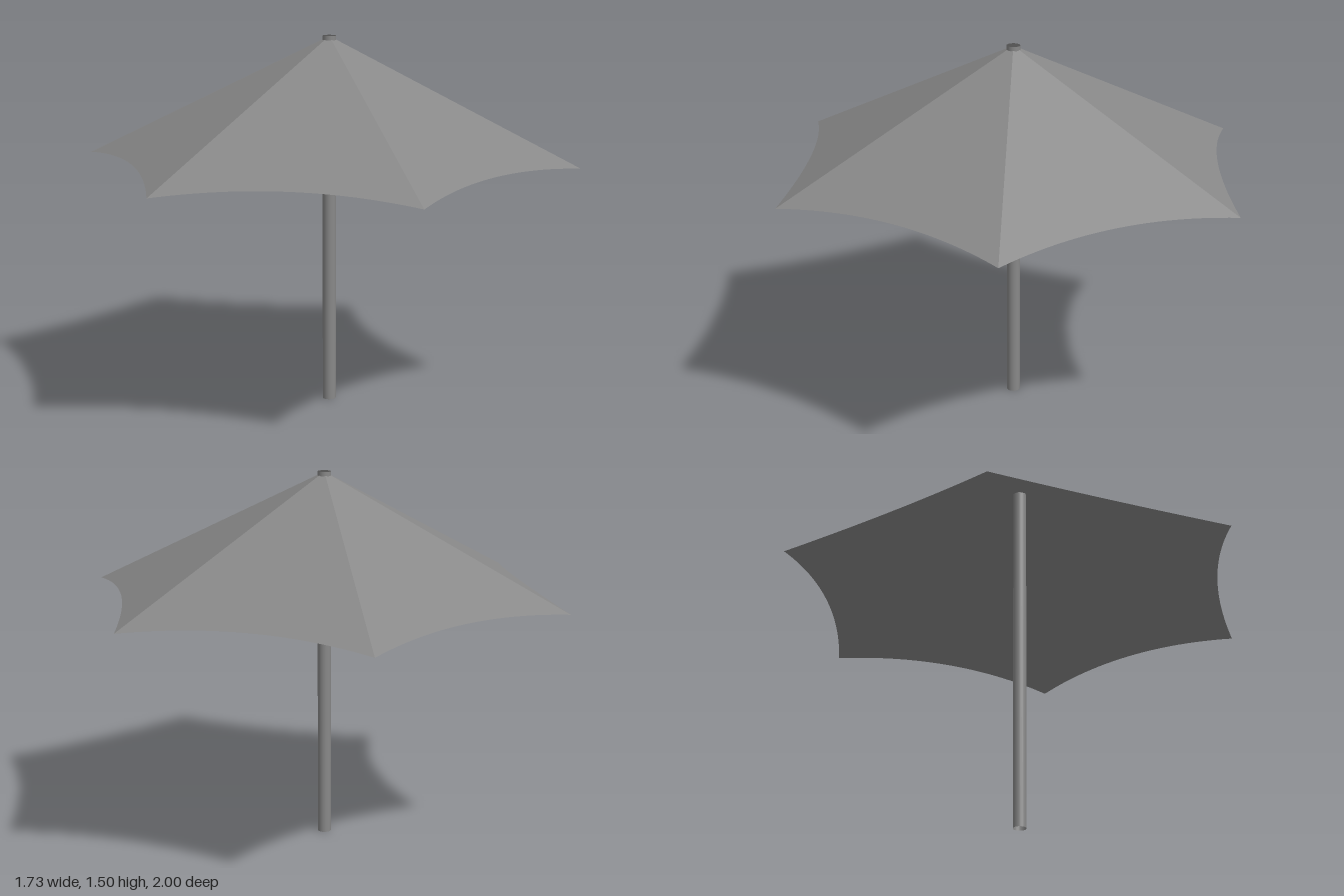
import * as THREE from 'three';

const SIDES = 6, HEIGHT = 1.5, APEX = 1.498, RIM = 1, RADIUS = 1, POLE_R = 0.027;

// One flat triangular panel whose outer edge bows inward, facing +x
function panelGeometry(segments = 24) {
  const half = RADIUS * Math.sin(Math.PI / SIDES);
  const apothem = RADIUS * Math.cos(Math.PI / SIDES);
  const slope = (APEX - RIM) / apothem;
  const sag = 0.056;
  const positions = [0, APEX, 0];
  const index = [];
  for (let i = 0; i <= segments; i++) {
    const t = (i / segments) * 2 - 1;
    const x = apothem - sag * (1 - t * t);
    positions.push(x, APEX - slope * x, t * half);
    if (i < segments) index.push(0, i + 2, i + 1);
  }
  const geometry = new THREE.BufferGeometry();
  geometry.setAttribute('position', new THREE.Float32BufferAttribute(positions, 3));
  geometry.setIndex(index);
  geometry.computeVertexNormals();
  return geometry;
}

export function createModel() {
  const group = new THREE.Group();
  group.name = 'parasol';
  const material = new THREE.MeshStandardMaterial({ color: 0x888888, side: THREE.DoubleSide });
  const darkMaterial = new THREE.MeshStandardMaterial({ color: 0x505050 });

  // Canopy: six panels meeting at the apex
  const canopy = new THREE.Group();
  canopy.name = 'canopy';
  const panel = panelGeometry();
  for (let i = 0; i < SIDES; i++) {
    const mesh = new THREE.Mesh(panel, material);
    mesh.name = `canopyPanel${i + 1}`;
    mesh.rotation.y = (i / SIDES) * Math.PI * 2;
    canopy.add(mesh);
  }
  group.add(canopy);

  // Pole: tube that pokes just past the canopy
  const pole = new THREE.Mesh(new THREE.CylinderGeometry(POLE_R, POLE_R, HEIGHT, 24, 1, true), material);
  pole.name = 'pole';
  pole.position.y = HEIGHT / 2;
  group.add(pole);

  // Dark disc closing the top of the pole
  const cap = new THREE.Mesh(new THREE.CircleGeometry(POLE_R, 24), darkMaterial);
  cap.name = 'poleCap';
  cap.rotation.x = -Math.PI / 2;
  cap.position.y = HEIGHT;
  group.add(cap);

  return group;
}
